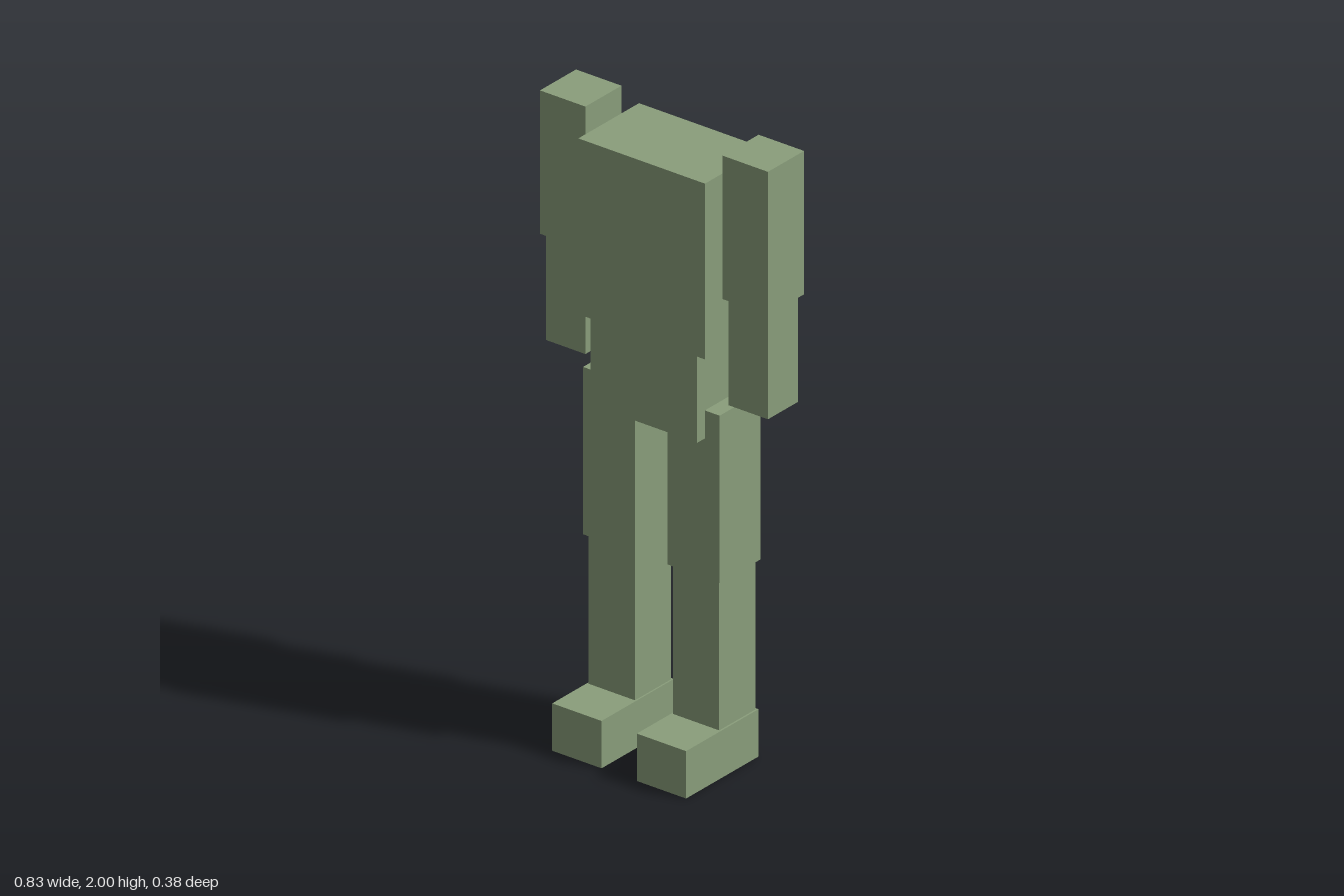
import * as THREE from 'three';

const sage = new THREE.MeshStandardMaterial({ color: 0x8a9e7b });
sage.name = 'sageGreen';

// Box given by its extents on each axis
function block(name, [x0, x1], [y0, y1], [z0, z1]) {
  const mesh = new THREE.Mesh(new THREE.BoxGeometry(x1 - x0, y1 - y0, z1 - z0), sage);
  mesh.position.set((x0 + x1) / 2, (y0 + y1) / 2, (z0 + z1) / 2);
  mesh.name = name;
  return mesh;
}

export function createModel() {
  const figure = new THREE.Group();
  figure.name = 'blockFigure';

  // Torso
  figure.add(
    block('chest', [-0.23, 0.23], [1.363, 1.927], [-0.194, 0.087]),
    block('hips', [-0.194, 0.194], [1.08, 1.363], [-0.18, 0.077]),
  );

  // Limb segments on the left side: name, x, y and z extents
  const limbs = [
    ['UpperArm', [0.249, 0.414], [1.54, 2], [-0.137, 0.03]],
    ['Forearm', [0.26, 0.403], [1.197, 1.54], [-0.122, 0.016]],
    ['Thigh', [0.059, 0.248], [0.633, 1.17], [-0.148, 0.042]],
    ['Shin', [0.069, 0.237], [0.152, 0.633], [-0.137, 0.03]],
    ['Foot', [0.064, 0.243], [0, 0.152], [-0.144, 0.191]],
  ];
  for (const [name, [inner, outer], y, z] of limbs) {
    figure.add(block('left' + name, [inner, outer], y, z));
    figure.add(block('right' + name, [-outer, -inner], y, z));
  }
  return figure;
}
